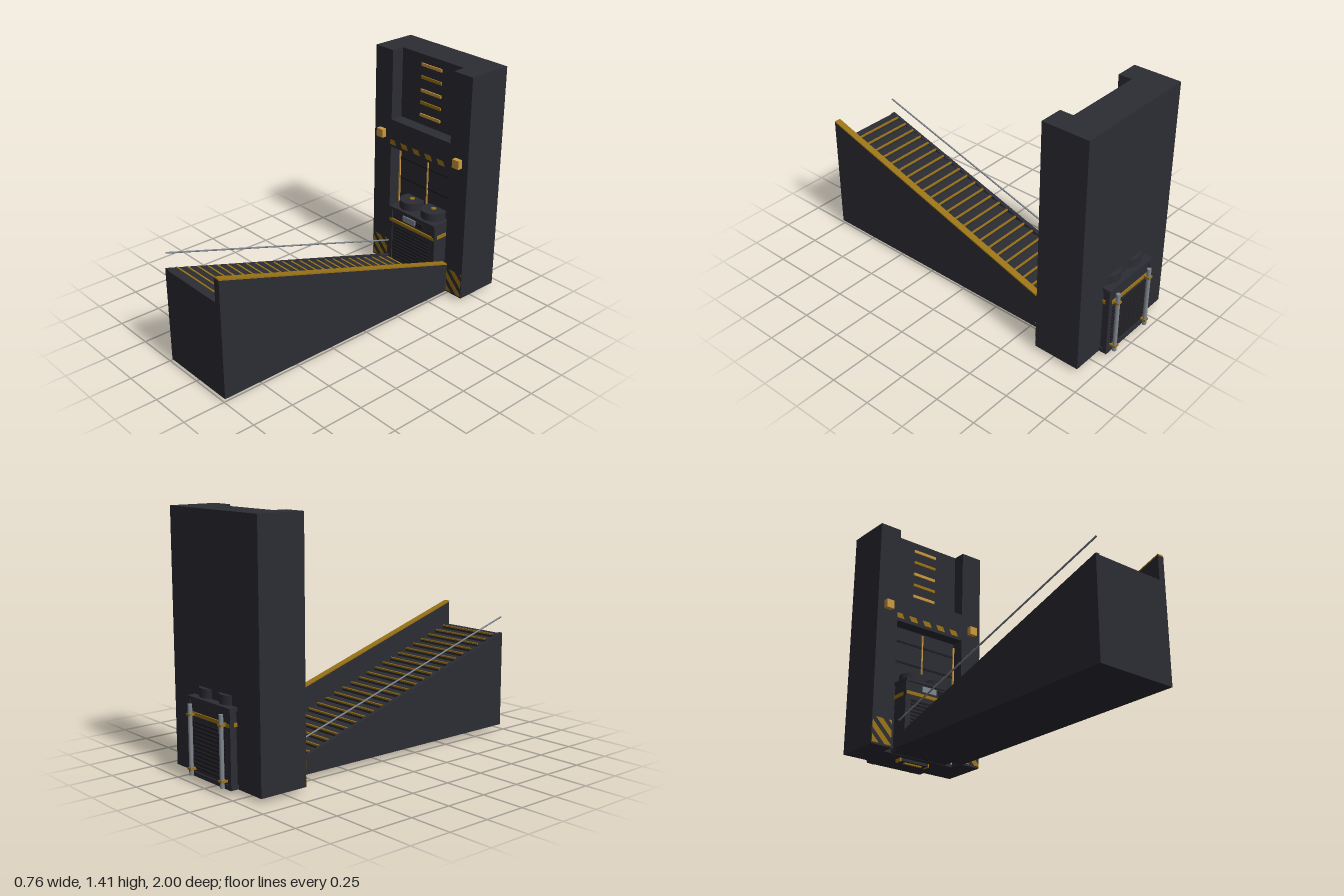
import * as THREE from 'three';

const mat = (name, color, side = THREE.FrontSide) => {
  const m = new THREE.MeshStandardMaterial({ color, side });
  m.name = name;
  return m;
};

export function createModel() {
  const dark = mat('dark metal', 0x2c2c34);
  const black = mat('groove black', 0x1e1e23);
  const gold = mat('amber lamp', 0xcb993f);
  const yellow = mat('hazard yellow', 0x9a7317, THREE.DoubleSide);
  const grey = mat('steel grey', 0x80868e);

  const model = new THREE.Group();
  const group = (name) => {
    const g = new THREE.Group();
    g.name = name;
    model.add(g);
    return g;
  };
  const add = (parent, name, geo, m, x = 0, y = 0, z = 0) => {
    const mesh = new THREE.Mesh(geo, m);
    mesh.name = name;
    mesh.position.set(x, y, z);
    parent.add(mesh);
    return mesh;
  };
  // Box given by its limits on each axis
  const box = (parent, name, m, x0, x1, y0, y1, z0, z1) =>
    add(parent, name, new THREE.BoxGeometry(x1 - x0, y1 - y0, z1 - z0), m,
      (x0 + x1) / 2, (y0 + y1) / 2, (z0 + z1) / 2);
  // Side profile of (z, y) points extruded across x
  const profile = (parent, name, m, pts, x0, x1) => {
    const shape = new THREE.Shape(pts.map(([z, y]) => new THREE.Vector2(z, y)));
    const geo = new THREE.ExtrudeGeometry(shape, { depth: x1 - x0, bevelEnabled: false });
    geo.rotateY(-Math.PI / 2);
    return add(parent, name, geo, m, x1);
  };
  // Keep the part of a polygon where f(point) >= 0
  const clip = (poly, f) => poly.flatMap((p, i) => {
    const q = poly[(i + 1) % poly.length], a = f(p), b = f(q);
    const out = a >= 0 ? [p] : [];
    if ((a >= 0) !== (b >= 0)) out.push(p.clone().lerp(q, a / (a - b)));
    return out;
  });
  // Diagonal yellow stripes clipped to a rectangle
  const hazard = (parent, x0, x1, y0, y1, z, period, width, lean) => {
    const rect = [[x0, y0], [x1, y0], [x1, y1], [x0, y1]].map((p) => new THREE.Vector2(...p));
    const along = (p) => p.x - x0 + (p.y - y0) * lean;
    const end = x1 - x0 + (y1 - y0) * lean;
    for (let c = 0; c < end; c += period) {
      const poly = clip(clip(rect, (p) => along(p) - c), (p) => c + width - along(p));
      if (poly.length > 2) add(parent, 'hazardStripe', new THREE.ShapeGeometry(new THREE.Shape(poly)), yellow, 0, 0, z);
    }
  };

  // Tower: back slab, four pillars and the lintel between the recesses
  const tower = group('tower');
  box(tower, 'backSlab', dark, -0.38, 0.38, 0.025, 1.415, -0.92, -0.72);
  box(tower, 'lintel', dark, -0.38, 0.38, 0.81, 0.985, -0.72, -0.64);
  for (const s of [-1, 1]) {
    const [a, b] = s < 0 ? [-0.38, -0.24] : [0.24, 0.38];
    box(tower, 'lowerPillar', dark, a, b, 0.025, 0.81, -0.72, -0.64);
    box(tower, 'upperPillar', dark, a, b, 0.985, 1.415, -0.72, -0.64);
    box(tower, 'lamp', gold, s * 0.31 - 0.025, s * 0.31 + 0.025, 0.86, 0.912, -0.64, -0.61);
    box(tower, 'jambStrip', gold, s * 0.235 - 0.005, s * 0.235 + 0.005, 0.04, 0.785, -0.72, -0.712);
    hazard(tower, s < 0 ? -0.378 : 0.26, s < 0 ? -0.25 : 0.378, 0.035, 0.185, -0.636, 0.085, 0.047, 1);
  }
  hazard(tower, -0.243, 0.243, 0.828, 0.86, -0.636, 0.1, 0.052, 0.5);
  [1.355, 1.278, 1.197, 1.122, 1.046].forEach((y, i) =>
    box(tower, 'lightSlat', i % 2 ? yellow : gold, -0.08, 0.08, y - 0.009, y + 0.009, -0.72, -0.712));

  // Door at the back of the lower recess
  const door = group('door');
  for (const y of [0.3, 0.45, 0.59, 0.72]) {
    box(door, 'doorGroove', black, -0.23, 0.23, y - 0.006, y + 0.006, -0.72, -0.717);
  }
  box(door, 'doorSeam', gold, -0.004, 0.004, 0.04, 0.8, -0.72, -0.712);

  // Stairs rising away from the tower
  const stairs = group('stairs');
  const steps = 25, run = 0.0638, rise = 0.0208;
  const outline = [[1, 0.025], [-0.64, 0.025], [-0.64, 0.07]];
  for (let i = 0; i < steps; i++) {
    const z = -0.59 + i * run, y = 0.09 + i * rise;
    outline.push([z, y - rise], [z, y]);
    box(stairs, 'stepNosing', yellow, -0.2, 0.216, y - 0.007, y + 0.002, z - 0.003, z + 0.007);
  }
  outline.push([1, 0.09 + (steps - 1) * rise]);
  profile(stairs, 'steps', dark, outline, -0.205, 0.22);
  profile(stairs, 'rightStringer', dark, [[-0.64, 0.025], [1, 0.025], [1, 0.595], [-0.64, 0.085]], -0.224, -0.2);
  profile(stairs, 'leftWall', dark, [[-0.64, 0.025], [1, 0.025], [1, 0.73], [-0.64, 0.205]], 0.22, 0.26);
  profile(stairs, 'wallCap', yellow, [[-0.64, 0.205], [1, 0.73], [1, 0.738], [-0.64, 0.213]], 0.22, 0.26);
  const railEnds = new THREE.LineCurve3(new THREE.Vector3(-0.212, 0.19, -0.62), new THREE.Vector3(-0.212, 0.69, 1));
  add(stairs, 'handrail', new THREE.TubeGeometry(railEnds, 1, 0.005, 8), grey);

  // Power unit passing through the foot of the tower
  const unit = group('powerUnit');
  box(unit, 'unitBody', dark, -0.18, 0.18, 0.035, 0.43, -0.96, -0.6);
  box(unit, 'unitLid', dark, -0.19, 0.19, 0.43, 0.45, -0.968, -0.59);
  box(unit, 'unitBase', dark, -0.19, 0.19, 0.027, 0.05, -0.968, -0.592);
  box(unit, 'unitBand', yellow, -0.187, 0.187, 0.35, 0.37, -0.967, -0.59);
  for (const x of [-0.18, 0.18]) for (const z of [-0.955, -0.605]) {
    box(unit, 'cornerPost', dark, x - 0.012, x + 0.012, 0.035, 0.44, z - 0.012, z + 0.012);
  }
  for (let i = 0; i < 12; i++) {
    const y = 0.07 + i * 0.022;
    box(unit, 'rearLouver', black, -0.15, 0.15, y, y + 0.01, -0.966, -0.96);
    box(unit, 'frontLouver', black, -0.15, 0.15, y, y + 0.01, -0.6, -0.594);
  }
  box(unit, 'display', grey, -0.075, 0.025, 0.385, 0.42, -0.6, -0.592);
  box(unit, 'socket', black, 0.04, 0.09, 0.388, 0.417, -0.6, -0.592);
  for (const x of [-0.09, 0.09]) {
    for (const z of [-0.87, -0.685]) {
      add(unit, 'fanHousing', new THREE.CylinderGeometry(0.076, 0.076, 0.055, 24), dark, x, 0.4725, z);
      add(unit, 'fanHub', new THREE.CylinderGeometry(0.016, 0.016, 0.006, 16), yellow, x, 0.502, z);
    }
  }

  // Rear pipes with clamps
  for (const x of [-0.14, 0.14]) {
    add(unit, 'rearPipe', new THREE.CylinderGeometry(0.012, 0.012, 0.38, 12), grey, x, 0.225, -0.985);
    for (const y of [0.07, 0.36]) {
      box(unit, 'pipeClamp', yellow, x - 0.015, x + 0.015, y - 0.006, y + 0.006, -0.999, -0.96);
    }
  }

  // Grille under the tower
  const under = group('underGrille');
  box(under, 'grillePlate', dark, -0.095, 0.095, 0.008, 0.027, -0.8, -0.755);
  for (const s of [-1, 1]) box(under, 'grilleEnd', yellow, s * 0.098 - 0.004, s * 0.098 + 0.004, 0.004, 0.027, -0.8, -0.755);
  box(under, 'grilleBar', yellow, -0.06, 0.06, 0, 0.008, -0.785, -0.77);

  return model;
}
